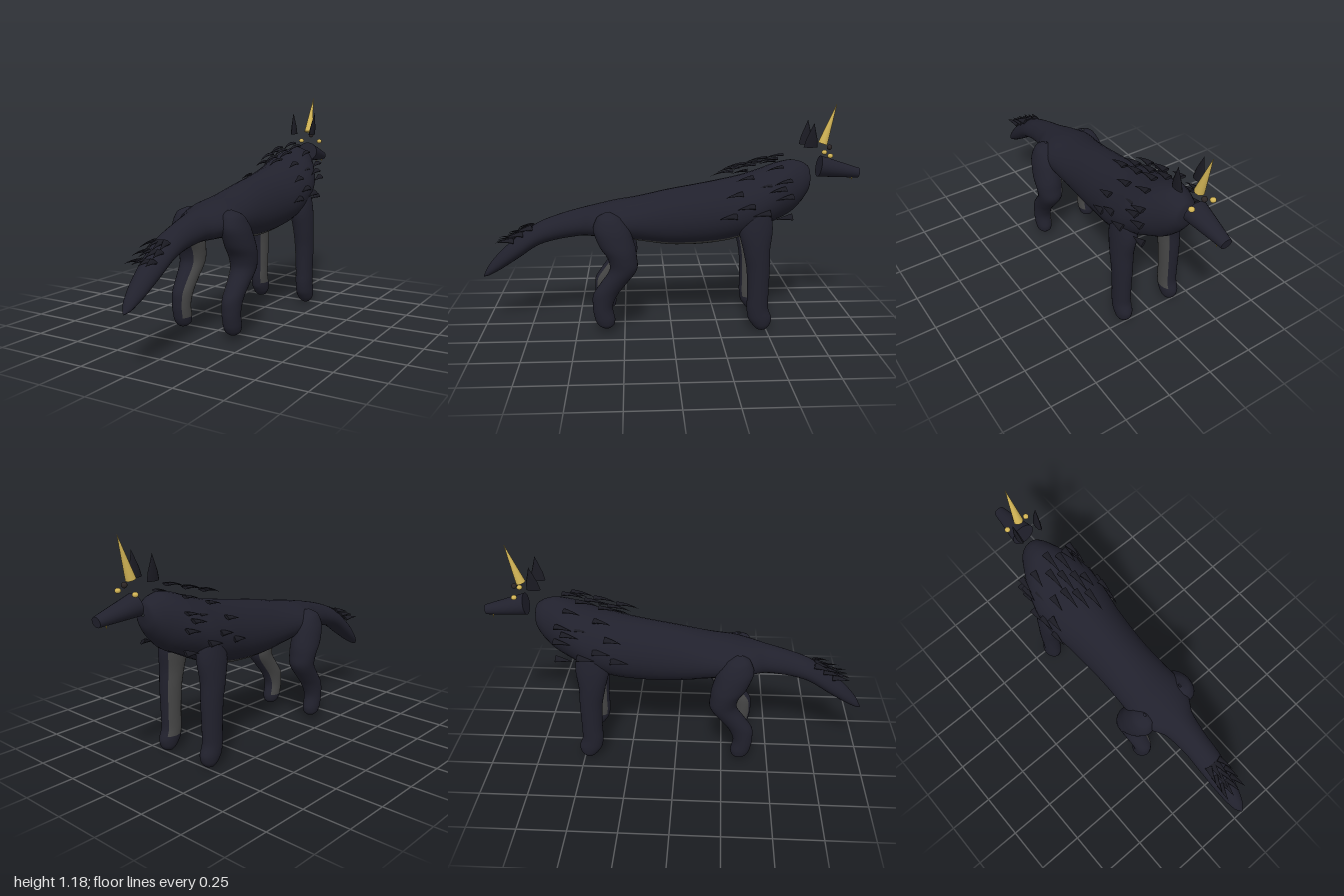
import * as THREE from 'three';

const mat = (name, color) => new THREE.MeshStandardMaterial({ name, color });

// Skin lofted through elliptical rings; isPale(u, v, p) picks the second material per face.
// Each section is [x, y, z, radiusX, radius2]; rings lie in the plane of x and axis2.
function loft(sections, axis2, steps, egg, isPale) {
  const centres = new THREE.CatmullRomCurve3(sections.map(s => new THREE.Vector3(s[0], s[1], s[2])));
  const radii = new THREE.CatmullRomCurve3(sections.map(s => new THREE.Vector3(s[3], s[4], 0)));
  const sides = 28, pos = [], dark = [], pale = [];
  for (let i = 0; i <= steps; i++) {
    const p = centres.getPoint(i / steps), r = radii.getPoint(i / steps);
    for (let j = 0; j < sides; j++) {
      const a = j / sides * Math.PI * 2, u = Math.cos(a), v = Math.sin(a);
      const q = p.clone();
      q.x += u * Math.max(r.x, 0.001) * (1 - egg * v);
      q[axis2] += v * Math.max(r.y, 0.001);
      pos.push(q.x, q.y, q.z);
      if (i === steps) continue;
      const k = (j + 1) % sides, A = i * sides + j, B = i * sides + k;
      const mid = (j + 0.5) / sides * Math.PI * 2;
      const list = isPale(Math.cos(mid), Math.sin(mid), p) ? pale : dark;
      list.push(A, B, B + sides, A, B + sides, A + sides);
    }
  }
  const g = new THREE.BufferGeometry();
  g.setAttribute('position', new THREE.Float32BufferAttribute(pos, 3));
  g.setIndex([...dark, ...pale]);
  g.addGroup(0, dark.length, 0);
  g.addGroup(dark.length, pale.length, 1);
  g.computeVertexNormals();
  return g;
}

// Flat curved tuft with its root at the origin and its tip toward +z
function tuftGeometry(length) {
  const g = new THREE.ConeGeometry(0.021, length, 6, 4);
  g.translate(0, length / 2, 0).rotateX(Math.PI / 2).scale(1, 0.4, 1);
  const p = g.attributes.position;
  for (let i = 0; i < p.count; i++) p.setY(i, p.getY(i) - 2.2 * p.getZ(i) ** 2);
  g.computeVertexNormals();
  return g;
}

export function createModel() {
  const root = new THREE.Group();
  const fur = mat('dark fur', 0x21212d);
  const under = mat('grey underside', 0x464646);
  const mane = mat('mane', 0x1a1a22);
  const gold = mat('gold', 0xd2b455);
  const noseDark = mat('dark nose', 0x2c2626);

  const add = (name, geo, material, x = 0, y = 0, z = 0) => {
    const m = new THREE.Mesh(geo, material);
    m.name = name;
    m.position.set(x, y, z);
    root.add(m);
    return m;
  };

  // Body from neck to tail tip: z, top, bottom, half width
  const body = [
    [-0.738, 0.82, 0.8, 0.008], [-0.727, 0.862, 0.74, 0.055], [-0.69, 0.888, 0.68, 0.088],
    [-0.63, 0.9, 0.62, 0.122], [-0.55, 0.882, 0.58, 0.162], [-0.45, 0.845, 0.53, 0.186],
    [-0.35, 0.815, 0.488, 0.185], [-0.2, 0.785, 0.458, 0.165], [0, 0.75, 0.452, 0.152],
    [0.18, 0.71, 0.48, 0.155], [0.3, 0.69, 0.5, 0.16], [0.4, 0.668, 0.505, 0.13],
    [0.47, 0.652, 0.505, 0.09], [0.6, 0.615, 0.485, 0.072], [0.7, 0.575, 0.455, 0.07],
    [0.8, 0.51, 0.39, 0.062], [0.9, 0.425, 0.325, 0.048], [0.97, 0.345, 0.287, 0.028],
    [1, 0.287, 0.28, 0.003],
  ].map(([z, top, bottom, w]) => [0, (top + bottom) / 2, z, w, (top - bottom) / 2]);
  add('bodyAndTail', loft(body, 'y', 80, 0.12,
    (u, v, p) => v < -0.78 && p.z > -0.38 && p.z < 0.25), [fur, under]);

  // Legs, top to bottom: x, y, z, half width, half depth
  const frontLeg = [
    [0.12, 0.69, -0.44, 0.005, 0.01], [0.125, 0.66, -0.44, 0.05, 0.065], [0.135, 0.56, -0.435, 0.06, 0.088],
    [0.145, 0.45, -0.44, 0.056, 0.07], [0.147, 0.35, -0.45, 0.052, 0.061], [0.148, 0.2, -0.452, 0.047, 0.056],
    [0.148, 0.13, -0.452, 0.046, 0.057], [0.148, 0.08, -0.464, 0.046, 0.062], [0.148, 0.04, -0.473, 0.04, 0.048],
    [0.148, 0.015, -0.475, 0.024, 0.025], [0.148, 0.008, -0.475, 0.002, 0.002],
  ];
  const hindLeg = [
    [0.12, 0.655, 0.33, 0.005, 0.01], [0.13, 0.63, 0.325, 0.05, 0.06], [0.143, 0.56, 0.31, 0.068, 0.095],
    [0.15, 0.48, 0.282, 0.074, 0.092], [0.152, 0.42, 0.258, 0.072, 0.076], [0.152, 0.36, 0.252, 0.065, 0.071],
    [0.15, 0.28, 0.306, 0.055, 0.068], [0.148, 0.22, 0.348, 0.05, 0.064], [0.148, 0.15, 0.363, 0.046, 0.052],
    [0.148, 0.09, 0.353, 0.045, 0.053], [0.148, 0.055, 0.347, 0.038, 0.043], [0.148, 0.038, 0.345, 0.02, 0.022],
    [0.148, 0.033, 0.345, 0.002, 0.002],
  ];
  for (const side of [1, -1]) {
    const label = side > 0 ? 'left' : 'right';
    for (const [name, leg] of [['FrontLeg', frontLeg], ['HindLeg', hindLeg]]) {
      add(label + name, loft(leg.map(([x, ...r]) => [x * side, ...r]), 'z', 48, 0,
        (u, v, p) => u * side < -0.55 && p.y > 0.1 && p.y < 0.56), [fur, under]);
    }

    // Ears, eyes and fangs
    const ear = new THREE.ConeGeometry(0.036, 0.128, 8, 3);
    const e = ear.attributes.position;
    for (let i = 0; i < e.count; i++) {
      const t = e.getY(i) / 0.128 + 0.5, bulge = 1 + t * (1 - t);
      e.setXYZ(i, e.getX(i) * 0.36 * bulge + side * 0.012 * t, e.getY(i), e.getZ(i) * bulge - 0.012 * t);
    }
    ear.computeVertexNormals();
    add(label + 'Ear', ear, mane, side * 0.059, 1.035, -0.72);
    add(label + 'Eye', new THREE.SphereGeometry(0.015, 16, 12), gold, side * 0.06, 0.926, -0.825).scale.y = 0.85;
    add(label + 'Fang', new THREE.ConeGeometry(0.004, 0.02, 8), gold, side * 0.018, 0.797, -0.957).rotation.x = Math.PI;
  }

  // Tapered part between two points
  const taper = (name, from, to, r0, r1, material) => {
    const a = new THREE.Vector3(...from), d = new THREE.Vector3(...to).sub(a);
    const g = new THREE.CylinderGeometry(r1, r0, d.length(), 24);
    const m = add(name, g, material);
    m.position.copy(a).addScaledVector(d, 0.5);
    m.quaternion.setFromUnitVectors(new THREE.Vector3(0, 1, 0), d.normalize());
    return m;
  };
  taper('snout', [0, 0.863, -0.783], [0, 0.825, -0.996], 0.056, 0.026, fur).scale.x = 1.13;
  taper('horn', [0, 0.982, -0.798], [0, 1.186, -0.862], 0.025, 0.001, gold);
  add('nose', new THREE.SphereGeometry(0.014, 14, 10), noseDark, 0, 0.962, -0.835);

  // Mane tufts: along the spine, then mirrored down the shoulders
  const long = tuftGeometry(0.12), short = tuftGeometry(0.09);
  const tuft = (name, geo, x, y, z, yaw, pitch, roll) => {
    add(name, geo, mane, x, y, z).rotation.set(pitch, yaw, roll, 'YXZ');
  };
  for (let i = 0; i < 8; i++) {
    const t = i / 7;
    tuft('spineTuft', long, [0, 0.05, -0.045][i % 3], 0.925 - 0.075 * t, -0.59 + 0.27 * t, 0, -0.02, 0);
  }
  const shoulder = [
    [0.1, 0.878, -0.57], [0.155, 0.815, -0.61], [0.165, 0.775, -0.58], [0.165, 0.735, -0.62],
    [0.15, 0.625, -0.62], [0.19, 0.655, -0.5], [0.185, 0.69, -0.42], [0.165, 0.75, -0.36],
    [0.185, 0.64, -0.33], [0.1, 0.825, -0.42], [0.13, 0.79, -0.51],
  ];
  for (const side of [1, -1]) for (const [x, y, z] of shoulder) {
    tuft('shoulderTuft', short, x * side, y, z, side * 0.12, 0.05, -side * (0.9 - y) * 3);
  }

  // Tail tufts fanning out near the tip
  for (let i = 0; i < 12; i++) {
    const s = (i % 4 - 1.5) / 1.5, row = Math.floor(i / 4);
    tuft('tailTuft', short, s * 0.035, 0.555 - row * 0.035, 0.73 + row * 0.05, s * 0.35, 0.08 - 0.1 * row, -s * 0.5);
  }
  return root;
}
